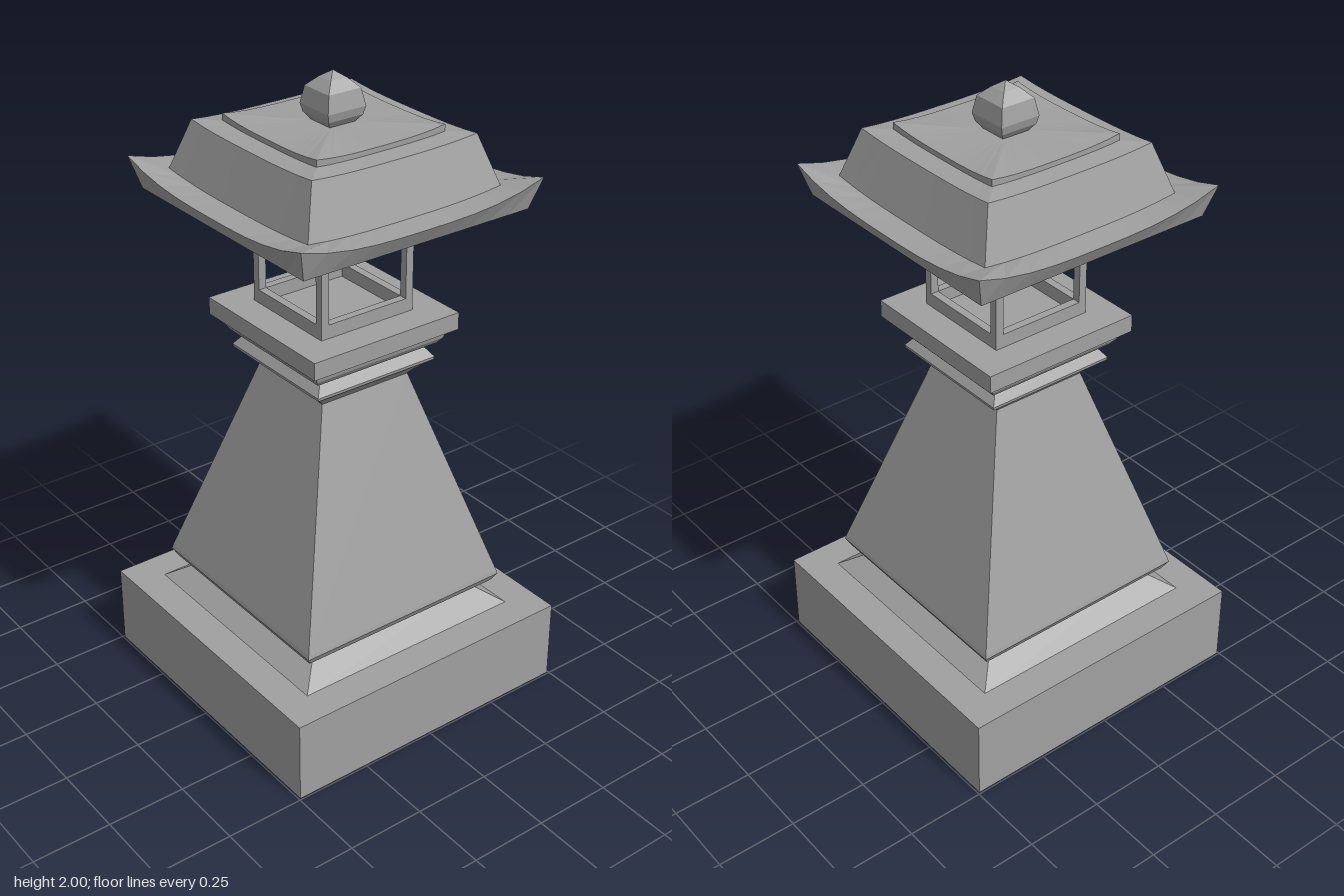
import * as THREE from 'three';

const stone = new THREE.MeshStandardMaterial({ color: 0xa0a0a0 });
stone.name = 'grey stone';

// Square loft: profile rows are [halfWidth, y, cornerLift], listed from the bottom axis to the top axis.
function squareLoft(profile, segments = 1) {
  const pos = [];
  const point = ([h, y, lift = 0], u, turn) => {
    const p = new THREE.Vector3(u * h, y + lift * Math.abs(u) ** 3, h);
    return p.applyAxisAngle(new THREE.Vector3(0, 1, 0), turn * Math.PI / 2);
  };
  const tri = (...pts) => pts.forEach((p) => pos.push(p.x, p.y, p.z));
  for (let side = 0; side < 4; side++) {
    for (let i = 0; i < profile.length - 1; i++) {
      for (let s = 0; s < segments; s++) {
        const u0 = -1 + 2 * s / segments, u1 = -1 + 2 * (s + 1) / segments;
        const low = profile[i], high = profile[i + 1];
        const a = point(low, u0, side), b = point(low, u1, side);
        const c = point(high, u1, side), d = point(high, u0, side);
        if (low[0] > 0) tri(a, b, c);
        if (high[0] > 0) tri(a, c, d);
        else if (low[0] > 0 && segments > 1) continue;
      }
    }
  }
  const geo = new THREE.BufferGeometry();
  geo.setAttribute('position', new THREE.Float32BufferAttribute(pos, 3));
  geo.computeVertexNormals();
  return geo;
}

export function createModel() {
  const model = new THREE.Group();
  model.name = 'stoneLantern';

  const add = (name, geo, parent = model) => {
    const mesh = new THREE.Mesh(geo, stone);
    mesh.name = name;
    parent.add(mesh);
    return mesh;
  };
  const box = (name, w, h, d, x, y, z, parent) =>
    add(name, new THREE.BoxGeometry(w, h, d), parent).position.set(x, y, z);

  // Plinth and sloping skirt
  box('base', 0.99, 0.265, 0.99, 0, 0.1325, 0);
  add('skirt', squareLoft([[0, 0.262], [0.395, 0.262], [0.305, 0.325], [0, 0.325]]));

  // Tapered pedestal with a rounded foot
  add('pedestal', squareLoft([
    [0, 0.32], [0.305, 0.32], [0.335, 0.327], [0.355, 0.345], [0.37, 0.372], [0.367, 0.385],
    [0.158, 1.07], [0, 1.07],
  ]));

  // Collar mouldings below the lantern
  add('collar', squareLoft([
    [0, 1.065], [0.158, 1.068], [0.172, 1.085], [0.213, 1.12], [0.215, 1.13],
    [0.185, 1.17], [0, 1.17],
  ]));
  add('cornice', squareLoft([
    [0, 1.168], [0.185, 1.168], [0.218, 1.176], [0.232, 1.195], [0.24, 1.225], [0, 1.225],
  ]));
  box('platform', 0.525, 0.055, 0.525, 0, 1.2525, 0);

  // Open lantern frame: four posts joined by rails
  const frame = new THREE.Group();
  frame.name = 'lanternFrame';
  model.add(frame);
  const outer = 0.166, t = 0.026, c = outer - t / 2;
  for (let i = 0; i < 4; i++) {
    const side = new THREE.Group();
    side.name = 'frameSide';
    side.rotation.y = i * Math.PI / 2;
    frame.add(side);
    box('post', t, 0.34, t, c, 1.45, c, side);
    box('lowerRail', 2 * (outer - t), 0.043, t, 0, 1.3015, c, side);
    box('upperRail', 2 * (outer - t), 0.04, t, 0, 1.598, c, side);
  }

  // Roof with upturned eaves and a steep upper tier
  add('roof', squareLoft([
    [0, 1.618], [0.392, 1.618], [0.42, 1.668, 0.048], [0.335, 1.67, 0.015],
    [0.285, 1.826, 0.01], [0.1, 1.84], [0, 1.845],
  ], 10));
  add('roofCap', squareLoft([
    [0, 1.826], [0.222, 1.826, 0.01], [0.222, 1.846, 0.012], [0.06, 1.853], [0, 1.855],
  ], 10));

  // Faceted finial
  add('finial', squareLoft([
    [0, 1.845], [0.038, 1.845], [0.06, 1.875], [0.066, 1.9], [0.056, 1.952],
    [0.028, 1.98], [0, 2],
  ]));
  return model;
}
